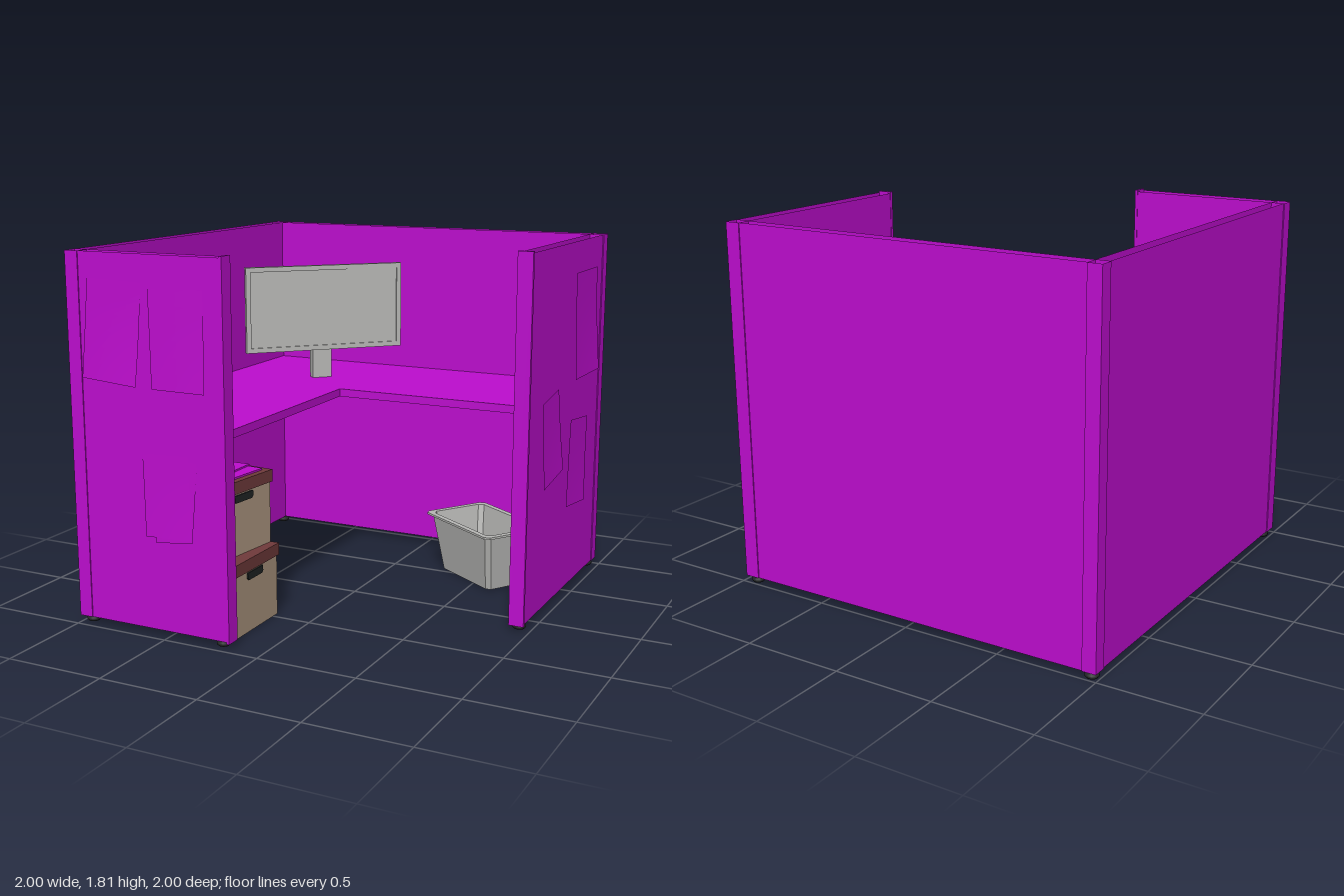
import * as THREE from 'three';

const mat = (name, color, side = THREE.FrontSide) => {
  const m = new THREE.MeshStandardMaterial({ color, side });
  m.name = name;
  return m;
};

export function createModel() {
  const root = new THREE.Group();
  root.name = 'officeCubicle';
  const magenta = mat('magenta', 0xbd0dce, THREE.DoubleSide);
  const grey = mat('grey', 0xb8b8b6);
  const tan = mat('cardboard', 0xae9781);
  const brown = mat('lidBrown', 0x703a3b);
  const black = mat('black', 0x202424);

  const add = (parent, name, geo, material, x = 0, y = 0, z = 0) => {
    const m = new THREE.Mesh(geo, material);
    m.name = name;
    m.position.set(x, y, z);
    parent.add(m);
    return m;
  };
  const group = (name, x, y, z, ry) => {
    const g = new THREE.Group();
    g.name = name;
    g.position.set(x, y, z);
    g.rotation.y = ry;
    root.add(g);
    return g;
  };
  // box given by its limits; open drops the top and bottom faces
  const span = (name, [x0, x1], [y0, y1], [z0, z1], open) => {
    const g = new THREE.BoxGeometry(x1 - x0, y1 - y0, z1 - z0);
    if (open) {
      const idx = Array.from(g.index.array);
      idx.splice(12, 12);
      g.setIndex(idx);
      g.clearGroups();
    }
    add(root, name, g, magenta, (x0 + x1) / 2, (y0 + y1) / 2, (z0 + z1) / 2);
  };

  // partition walls and corner posts
  const H = [0.035, 1.8];
  span('backWall', [-0.93, 0.9], H, [-0.995, -0.932], true);
  span('sideWall', [-0.995, -0.93], H, [-0.93, 0.9], true);
  span('frontWall', [-0.93, -0.175], H, [0.902, 0.972], true);
  span('shortSideWall', [0.902, 0.972], H, [-0.93, 0.155], true);
  span('cornerPost', [-1, -0.93], H, [-1, -0.93], true);
  span('cornerPost', [-1, -0.93], H, [0.9, 0.977], true);
  span('cornerPost', [0.9, 0.977], H, [-1, -0.93], true);
  span('endCap', [-0.175, -0.16], [0.027, 1.807], [0.9, 0.975]);
  span('endCap', [0.9, 0.975], [0.027, 1.807], [0.15, 0.167]);

  // levelling feet
  const footGeo = new THREE.LatheGeometry(
    [[0, 0], [0.026, 0], [0.033, 0.008], [0.033, 0.018], [0.014, 0.024], [0.014, 0.03], [0.03, 0.032], [0.03, 0.04], [0, 0.04]]
      .map(([x, y]) => new THREE.Vector2(x, y)), 16);
  for (const [x, z] of [[-0.96, -0.96], [0.935, -0.96], [0.935, 0.11], [-0.96, 0.925], [-0.22, 0.925]])
    add(root, 'foot', footGeo, black, x, 0, z);

  // L-shaped desk top
  const desk = new THREE.Shape([[-0.93, 0.93], [-0.93, -0.9], [-0.175, -0.9], [-0.175, 0.18], [0.902, 0.18], [0.902, 0.93]]
    .map(([x, y]) => new THREE.Vector2(x, y)));
  const deskGeo = new THREE.ExtrudeGeometry(desk, { depth: 0.04, bevelEnabled: false });
  deskGeo.rotateX(-Math.PI / 2);
  add(root, 'deskTop', deskGeo, magenta, 0, 0.98, 0);

  // curled sheet between four corners (top left, top right, bottom right, bottom left)
  const sheet = (name, c, place, curl = 0.012) => {
    const g = new THREE.PlaneGeometry(1, 1, 4, 6);
    const p = g.attributes.position;
    for (let i = 0; i < p.count; i++) {
      const u = p.getX(i) + 0.5, v = 0.5 - p.getY(i);
      const mix = k => (c[0][k] * (1 - u) + c[1][k] * u) * (1 - v) + (c[3][k] * (1 - u) + c[2][k] * u) * v;
      p.setXYZ(i, ...place(mix(0), mix(1), curl * v * v * (0.4 + 0.6 * u)));
    }
    g.computeVertexNormals();
    add(root, name, g, magenta);
  };
  const onFront = (a, b, d) => [a, b, 0.977 + d];
  const onSide = (a, b, d) => [0.977 + d, b, a];
  const inSide = (a, b, d) => [0.898 - d, b, a];
  sheet('frontPaper', [[-0.88, 1.68], [-0.585, 1.67], [-0.615, 1.195], [-0.92, 1.215]], onFront, 0.022);
  sheet('frontPaper', [[-0.55, 1.645], [-0.26, 1.655], [-0.255, 1.19], [-0.54, 1.19]], onFront);
  sheet('frontPaper', [[-0.605, 0.885], [-0.36, 0.895], [-0.34, 0.5], [-0.595, 0.49]], onFront);
  sheet('frontPaper', [[-0.56, 0.86], [-0.31, 0.87], [-0.34, 0.49], [-0.54, 0.465]], onFront, 0.008);
  sheet('sidePaper', [[-0.49, 1.645], [-0.835, 1.645], [-0.85, 1.115], [-0.5, 1.11]], onSide, 0.022);
  sheet('sidePaper', [[-0.02, 1.07], [-0.26, 1.105], [-0.33, 0.69], [-0.065, 0.645]], onSide);
  sheet('sidePaper', [[-0.47, 0.91], [-0.75, 0.88], [-0.705, 0.44], [-0.42, 0.47]], onSide);
  sheet('innerPaper', [[-0.87, 1.68], [-0.58, 1.67], [-0.58, 1.2], [-0.87, 1.2]], inSide);
  sheet('innerPaper', [[-0.34, 1.62], [-0.13, 1.64], [-0.13, 1.15], [-0.34, 1.13]], inSide);

  // monitor with frame, mount and stand
  const mon = group('monitor', -0.38, 0, -0.4, Math.PI / 4);
  const rect = (T, w, h) => new T([[-w, -h], [w, -h], [w, h], [-w, h]].map(([x, y]) => new THREE.Vector2(x, y)));
  const frame = rect(THREE.Shape, 0.43, 0.225);
  frame.holes.push(rect(THREE.Path, 0.405, 0.2));
  add(mon, 'monitorFrame', new THREE.ExtrudeGeometry(frame, { depth: 0.03, bevelEnabled: false }), grey, 0, 1.405, -0.015);
  add(mon, 'monitorScreen', new THREE.BoxGeometry(0.81, 0.4, 0.022), grey, 0, 1.405, -0.004);
  const mount = new THREE.Shape([[-0.085, 0.015], [0.085, 0.015], [0.055, 0.045], [-0.055, 0.045]]
    .map(([x, y]) => new THREE.Vector2(x, y)));
  const mountGeo = new THREE.ExtrudeGeometry(mount, { depth: 0.17, bevelEnabled: false });
  mountGeo.rotateX(-Math.PI / 2);
  add(mon, 'monitorMount', mountGeo, grey, 0, 1.32, 0);
  add(mon, 'monitorStand', new THREE.BoxGeometry(0.106, 0.43, 0.05), grey, 0, 1.235, -0.066);

  // storage boxes with lids and grip slots
  const storageBox = (name, x, y, z, ry) => {
    const g = group(name, x, y, z, ry);
    add(g, 'boxBody', new THREE.BoxGeometry(0.68, 0.31, 0.43), tan, 0, 0.155, 0);
    add(g, 'boxLid', new THREE.BoxGeometry(0.7, 0.06, 0.444), brown, 0, 0.335, 0);
    for (const s of [-1, 1]) {
      const grip = new THREE.Shape([[-0.07, 0.018], [-0.07, -0.008], [-0.06, -0.018], [0.06, -0.018], [0.07, -0.008], [0.07, 0.018]]
        .map(([a, b]) => new THREE.Vector2(a, b)));
      const m = add(g, 'boxGrip', new THREE.ExtrudeGeometry(grip, { depth: 0.009, bevelEnabled: false }), black, s * 0.339, 0.278, 0);
      m.rotation.y = s * Math.PI / 2;
    }
    return g;
  };
  storageBox('lowerBox', -0.54, 0, 0.672, 0);
  const upper = storageBox('upperBox', -0.593, 0.367, 0.635, -0.11);
  add(upper, 'folder', new THREE.BoxGeometry(0.6, 0.009, 0.36), magenta, 0.02, 0.371, 0);
  add(upper, 'folder', new THREE.BoxGeometry(0.46, 0.008, 0.32), magenta, 0.03, 0.38, 0).rotation.y = 0.12;

  // waste bin: chamfered rectangular rings joined into an open tub
  const rings = [[0.215, 0.125, 0], [0.263, 0.168, 0.295], [0.285, 0.19, 0.297], [0.285, 0.19, 0.308],
    [0.255, 0.16, 0.308], [0.207, 0.117, 0.012]];
  const ringPoints = ([a, b, y]) => {
    const c = 0.022;
    return [[a, b - c], [a - c, b], [c - a, b], [-a, b - c], [-a, c - b], [c - a, -b], [a - c, -b], [a, c - b]]
      .map(([x, z]) => [x, y, z]);
  };
  const pos = [];
  const tri = (...pts) => pts.forEach(p => pos.push(...p));
  const loops = rings.map(ringPoints);
  for (let r = 0; r < loops.length - 1; r++)
    for (let i = 0; i < 8; i++) {
      const j = (i + 1) % 8, lo = loops[r], hi = loops[r + 1];
      tri(lo[i], hi[i], hi[j]);
      tri(lo[i], hi[j], lo[j]);
    }
  for (let i = 1; i < 7; i++) {
    const a = loops[0], b = loops[5];
    tri(a[0], a[i], a[i + 1]);
    tri(b[0], b[i + 1], b[i]);
  }
  const binGeo = new THREE.BufferGeometry();
  binGeo.setAttribute('position', new THREE.Float32BufferAttribute(pos, 3));
  binGeo.computeVertexNormals();
  add(root, 'wasteBin', binGeo, grey, 0.5, 0, -0.545).rotation.y = -0.588;

  return root;
}
